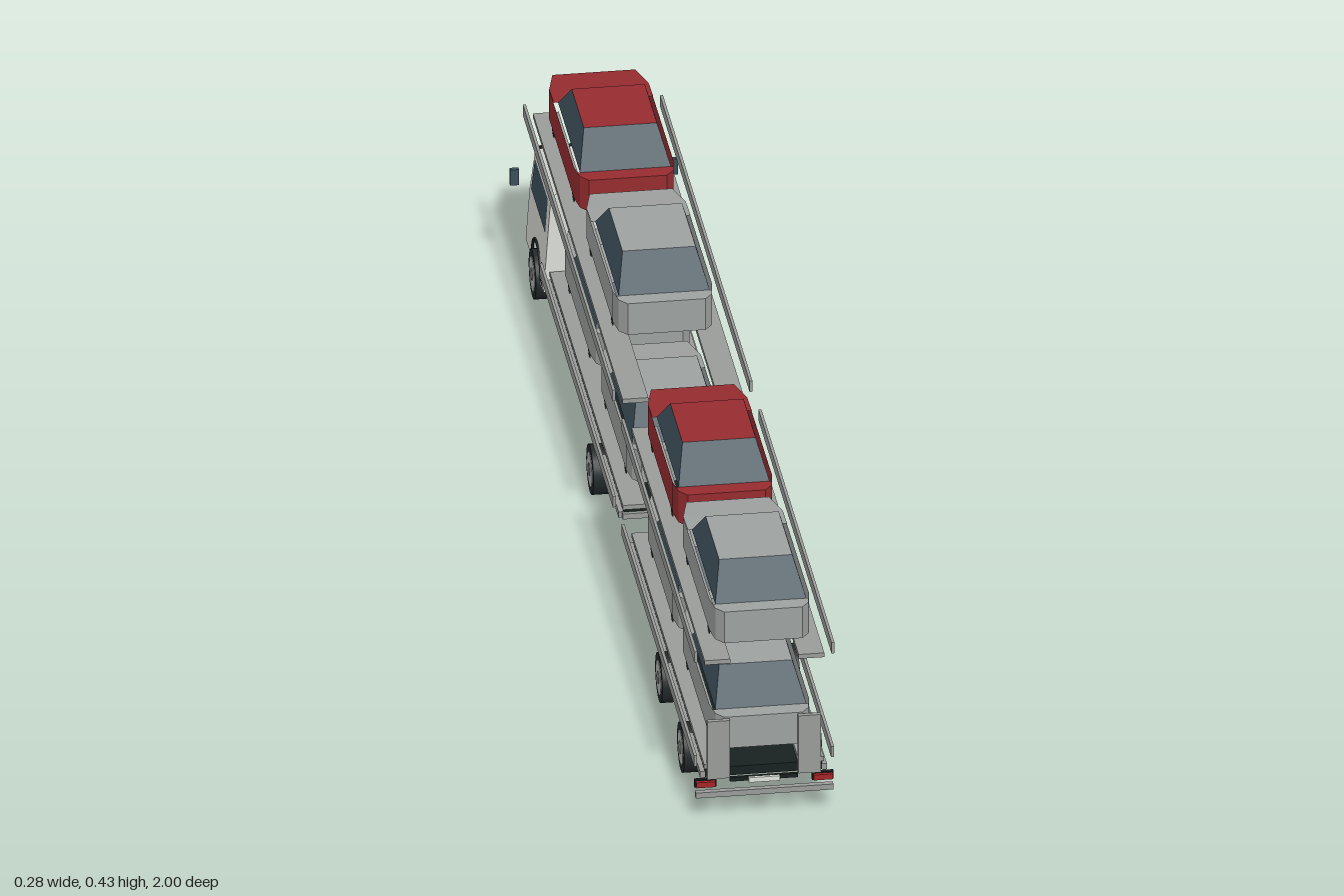
import * as THREE from 'three';

const mat = (name, color, side = THREE.FrontSide) =>
  Object.assign(new THREE.MeshStandardMaterial({ color, side }), { name });

export function createModel() {
  const M = {
    steel: mat('steel grey', 0x989b98), cab: mat('cab off-white', 0xdadcd6),
    red: mat('car red', 0x962c2f, THREE.DoubleSide), silver: mat('car silver', 0x9da19f, THREE.DoubleSide),
    glass: mat('tinted glass', 0x3d4f5a, THREE.DoubleSide), dark: mat('chassis black', 0x182020),
    tyre: mat('tyre black', 0x23292a, THREE.DoubleSide), rim: mat('wheel rim', 0xb2b5b4),
    lamp: mat('lamp red', 0xa32426), plate: mat('pale plate', 0xdfe2dd),
  };
  const root = new THREE.Group();
  root.name = 'carTransporter';

  const add = (parent, name, geo, material) => {
    const m = new THREE.Mesh(geo, material);
    m.name = name;
    parent.add(m);
    return m;
  };
  // Box given by its ranges
  const box = (parent, name, material, x0, x1, y0, y1, z0, z1) =>
    add(parent, name, new THREE.BoxGeometry(x1 - x0, y1 - y0, z1 - z0), material)
      .position.set((x0 + x1) / 2, (y0 + y1) / 2, (z0 + z1) / 2);
  const pair = (parent, name, material, x0, x1, ...r) => {
    box(parent, name + 'Left', material, x0, x1, ...r);
    box(parent, name + 'Right', material, -x1, -x0, ...r);
  };
  // Flat convex polygons, corners counter-clockwise from outside
  const faces = (polys) => {
    const p = [];
    for (const f of polys)
      for (let i = 1; i < f.length - 1; i++) p.push(...f[0], ...f[i], ...f[i + 1]);
    const g = new THREE.BufferGeometry();
    g.setAttribute('position', new THREE.Float32BufferAttribute(p, 3));
    g.computeVertexNormals();
    return g;
  };
  // Walls between two rings of equal length
  const walls = (low, high) => low.map((a, i) => {
    const j = (i + 1) % low.length;
    return [a, low[j], high[j], high[i]];
  });

  // Loaded car, nose towards -z, open underneath and along the shoulders
  function car(name, paint, tail, base, L) {
    const g = new THREE.Group();
    g.name = name;
    g.position.set(0, base, tail);
    const sill = 0.024, belt = 0.082, roofY = 0.134;
    const zr = -0.03, zw = -L + 0.114;
    const half = [[0.065, 0], [0.078, -0.016], [0.083, -0.05], [0.083, -L + 0.06], [0.069, -L]];
    const plan = [...half, ...half.slice().reverse().map(([x, z]) => [-x, z])];
    const topY = (z) => (z < -L + 0.01 ? belt - 0.008 : z < -L + 0.07 ? belt - 0.003 : belt);
    const low = plan.map(([x, z]) => [x, sill, z]);
    const high = plan.map(([x, z]) => [x, topY(z), z]);
    const hood = [[0.083, belt, zw], ...high.slice(3, 7), [-0.083, belt, zw]];
    const boot = [[-0.08, belt, zr], high[8], high[9], high[0], high[1], [0.08, belt, zr]];
    const ring = (x, y, a, b) => [[x, y, a], [x, y, b], [-x, y, b], [-x, y, a]];
    const cabinLow = ring(0.076, belt, zr, zw);
    const cabinTop = ring(0.061, roofY, zr - 0.059, zw + 0.054);
    add(g, 'carBody', faces([...walls(low, high), hood, boot]), paint);
    add(g, 'carRoof', faces([cabinTop]), paint);
    add(g, 'carWindows', faces(walls(cabinLow, cabinTop)), M.glass);
    // Flat wheel discs just inside the flanks
    for (const x of [-0.079, 0.079]) for (const z of [-0.085, -L + 0.08]) {
      const w = add(g, 'carWheel', new THREE.CircleGeometry(0.02, 14), M.tyre);
      w.rotation.y = Math.PI / 2;
      w.position.set(x, 0.021, z);
    }
    root.add(g);
  }
  const upper = 0.291, lower = 0.095;
  car('upperTruckFrontCar', M.red, -0.577, upper, 0.397);
  car('upperTruckRearCar', M.silver, -0.131, upper, 0.413);
  car('upperTrailerFrontCar', M.red, 0.56, upper, 0.397);
  car('upperTrailerRearCar', M.silver, 0.983, upper, 0.413);
  car('lowerTruckFrontCar', M.silver, -0.394, lower, 0.397);
  car('lowerTruckRearCar', M.silver, 0.024, lower, 0.397);
  car('lowerTrailerFrontCar', M.silver, 0.56, lower, 0.397);
  car('lowerTrailerRearCar', M.silver, 0.983, lower, 0.413);

  // Decks: a pair of wheel tracks with outer guard rails
  const deck = (name, y, z0, z1) => {
    pair(root, name + 'Track', M.steel, 0.057, 0.1, y - 0.008, y, z0, z1);
    pair(root, name + 'Guard', M.steel, 0.112, 0.117, y - 0.002, y + 0.018, z0, z1);
  };
  deck('upperTruckDeck', upper, -0.983, 0.05);
  deck('upperTrailerDeck', upper, 0.153, 0.995);
  deck('lowerTruckDeck', lower, -0.79, 0.054);
  deck('lowerTrailerDeck', lower, 0.153, 0.99);
  for (const [n, a, b] of [['truck', -0.8, 0.045], ['trailer', 0.155, 0.984]]) {
    box(root, n + 'Chassis', M.dark, -0.098, 0.098, 0.069, 0.085, a, b);
    pair(root, n + 'ChassisRail', M.steel, 0.098, 0.106, 0.068, 0.079, a, b);
  }
  box(root, 'truckRearBeam', M.steel, -0.1, 0.1, 0.068, 0.078, 0.045, 0.052);

  // Trailer tail: gate posts, bumper, lamps and number plate
  pair(root, 'rearPost', M.steel, 0.057, 0.095, 0.068, 0.175, 0.984, 0.992);
  box(root, 'rearBumper', M.steel, -0.115, 0.115, 0.037, 0.047, 0.988, 0.998);
  pair(root, 'rearLampHolder', M.dark, 0.08, 0.116, 0.054, 0.068, 0.985, 0.992);
  pair(root, 'rearLamp', M.lamp, 0.082, 0.114, 0.056, 0.066, 0.992, 0.998);
  box(root, 'plateHolder', M.dark, -0.057, 0.057, 0.06, 0.067, 0.984, 0.99);
  box(root, 'numberPlate', M.plate, -0.026, 0.026, 0.058, 0.067, 0.99, 0.994);

  // Road wheels
  const axle = (name, z, outer, width) => {
    const cyl = (n, r, len, x, m) => {
      const c = add(root, n, new THREE.CylinderGeometry(r, r, len, 24), m);
      c.rotation.z = Math.PI / 2;
      c.position.set(x, 0.0425, z);
    };
    for (const s of [-1, 1]) {
      cyl(name + 'Tyre', 0.0425, width, s * (outer - width / 2), M.tyre);
      cyl(name + 'Rim', 0.03, 0.004, s * (outer - 0.001), M.rim);
      cyl(name + 'Hub', 0.011, 0.006, s * (outer - 0.001), M.steel);
    }
  };
  axle('front', -0.887, 0.115, 0.036);
  axle('truckRear', -0.182, 0.121, 0.049);
  axle('trailerFront', 0.571, 0.115, 0.044);
  axle('trailerRear', 0.823, 0.115, 0.044);

  // Cab: side profile extruded across, narrowing with height
  const cab = new THREE.Group();
  cab.name = 'cab';
  root.add(cab);
  const eaves = 0.231;
  const widthAt = (y) => (y <= eaves ? 0.11 - (y - 0.056) * 0.07 : 0.0978 - (y - eaves) * 1.4);
  const frontAt = (y) => (y < 0.145 ? -0.996 : -0.996 + (y - 0.145) * 0.3);
  const profile = (shape) => {
    const g = new THREE.ExtrudeGeometry(shape, { depth: 1, bevelEnabled: false, curveSegments: 12 });
    const p = g.attributes.position;
    for (let i = 0; i < p.count; i++) {
      const z = p.getX(i), y = p.getY(i);
      p.setXYZ(i, (1 - 2 * p.getZ(i)) * widthAt(y), y, z);
    }
    g.computeVertexNormals();
    return g;
  };
  const body = new THREE.Shape();
  body.moveTo(-0.793, 0.056);
  body.lineTo(-0.793, eaves);
  body.lineTo(frontAt(eaves), eaves);
  body.lineTo(-0.996, 0.145);
  body.lineTo(-0.996, 0.052);
  body.lineTo(-0.937, 0.052);
  body.absarc(-0.887, 0.052, 0.05, Math.PI, 0, true);
  add(cab, 'cabBody', profile(body), M.cab);
  const roof = new THREE.Shape([[-0.793, eaves], [-0.794, 0.239], [-0.955, 0.24], [frontAt(eaves), eaves]]
    .map(([z, y]) => new THREE.Vector2(z, y)));
  add(cab, 'cabRoof', profile(roof), M.cab);
  box(cab, 'cabUnderside', M.dark, -0.07, 0.07, 0.054, 0.105, -0.985, -0.795);

  // Painted side panels, points [z, y] counter-clockwise seen from the left
  const sidePanel = (name, m, pts) => {
    for (const s of [1, -1]) {
      const f = pts.map(([z, y]) => [s * (widthAt(y) + 0.001), y, z]);
      add(cab, name, faces([s > 0 ? f : f.reverse()]), m);
    }
  };
  sidePanel('sideWindow', M.glass, [[-0.815, 0.155], [-0.976, 0.155], [-0.962, 0.217], [-0.815, 0.217]]);
  for (const y of [0.06, 0.075, 0.09])
    sidePanel('sideStep', M.dark, [[-0.8, y], [-0.83, y], [-0.83, y + 0.006], [-0.8, y + 0.006]]);
  // Dark wheel arch lip
  for (const s of [-1, 1]) {
    const arch = add(cab, 'wheelArch', new THREE.TorusGeometry(0.05, 0.0025, 6, 18, Math.PI), M.dark);
    arch.rotation.y = Math.PI / 2;
    arch.position.set(s * 0.108, 0.052, -0.887);
  }

  // Painted front panels, points [x, y] clockwise in the x-y plane
  const frontPanel = (name, m, pts) =>
    add(cab, name, faces([pts.map(([x, y]) => [x, y, frontAt(y) - 0.001])]), m);
  frontPanel('windscreen', M.glass, [[0.096, 0.15], [-0.096, 0.15], [-0.091, 0.218], [0.091, 0.218]]);
  frontPanel('grille', M.dark,
    [[0.015, 0.119], [-0.015, 0.119], [-0.066, 0.134], [-0.066, 0.139], [0.066, 0.139], [0.066, 0.134]]);
  frontPanel('bumperIntake', M.dark, [[0.05, 0.062], [-0.05, 0.062], [-0.05, 0.07], [0.05, 0.07]]);
  for (const s of [-1, 1]) {
    const ring = add(cab, 'headlampRing', new THREE.TorusGeometry(0.012, 0.0015, 6, 20), M.dark);
    ring.position.set(s * 0.082, 0.085, -0.996);
    const lens = add(cab, 'headlampLens', new THREE.CircleGeometry(0.011, 20), M.plate);
    lens.rotation.y = Math.PI;
    lens.position.set(s * 0.082, 0.085, -0.9975);
  }
  // Sun visor, roof marker lamps and mirrors
  box(cab, 'sunVisor', M.dark, -0.088, 0.088, 0.219, 0.225, -0.994, -0.968);
  pair(cab, 'markerLamp', M.lamp, 0.066, 0.078, 0.231, 0.235, -0.973, -0.965);
  pair(cab, 'mirror', M.glass, 0.125, 0.14, 0.166, 0.195, -0.978, -0.97);

  return root;
}
